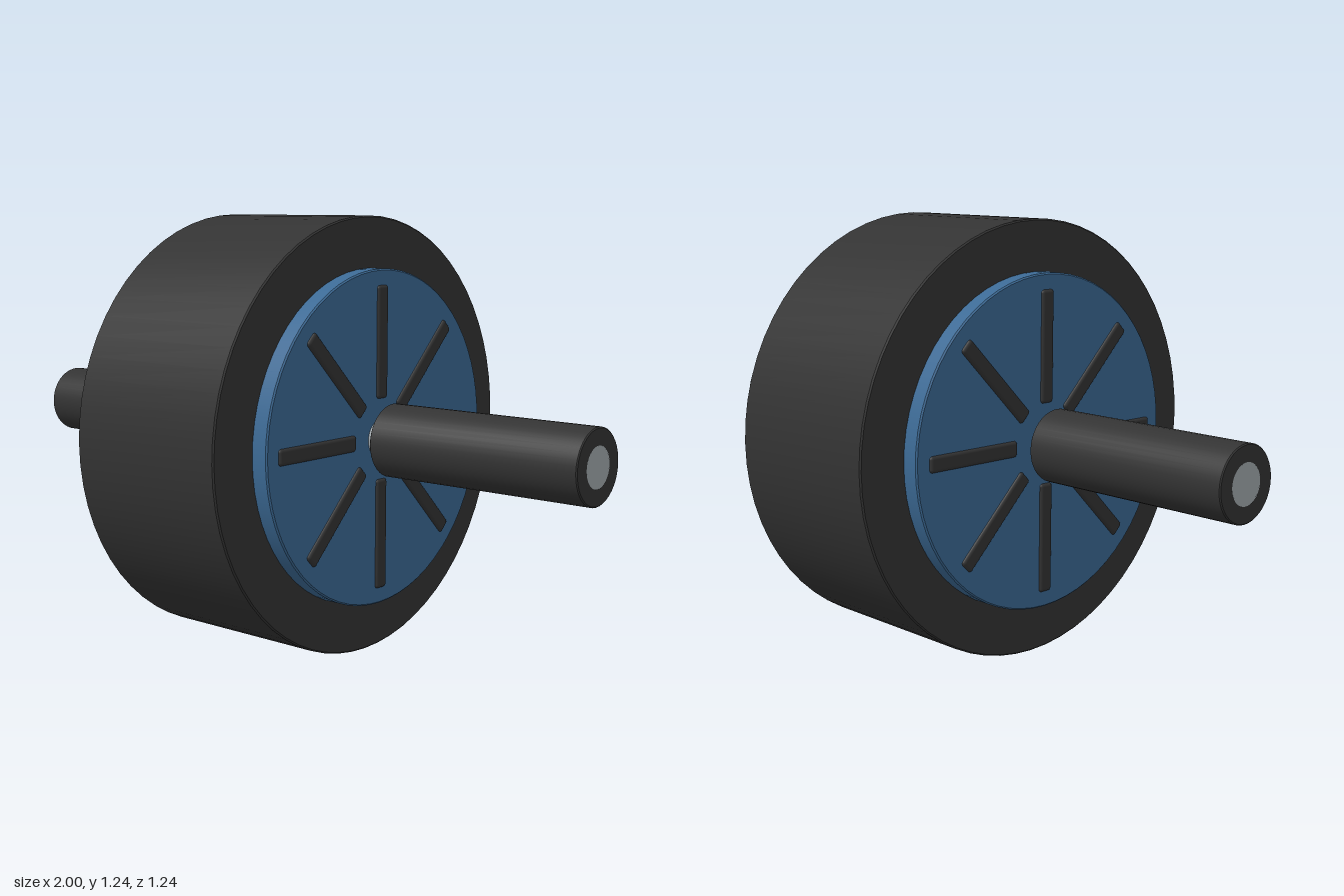
import * as THREE from 'three';
import { toCreasedNormals } from 'three/addons/utils/BufferGeometryUtils.js';
import { RoundedBoxGeometry } from 'three/addons/geometries/RoundedBoxGeometry.js';

const AXLE_Y = 0.62;

// Solid of revolution about the x axis, with small chamfers and an optional bore
function turned(x0, x1, radius, bevel, bore = 0, segments = 48) {
  const points = [
    [bore, x0], [radius - bevel, x0], [radius, x0 + bevel],
    [radius, x1 - bevel], [radius - bevel, x1], [bore, x1],
  ].map(([r, x]) => new THREE.Vector2(r, x));
  const geometry = new THREE.LatheGeometry(points, segments);
  geometry.rotateZ(-Math.PI / 2);
  return toCreasedNormals(geometry, 0.5);
}

export function createModel() {
  const rubber = new THREE.MeshStandardMaterial({ color: 0x333333 });
  rubber.name = 'black rubber';
  const blue = new THREE.MeshStandardMaterial({ color: 0x3c6a95 });
  blue.name = 'blue plastic';
  const steel = new THREE.MeshStandardMaterial({ color: 0xa2aaae });
  steel.name = 'steel';

  const model = new THREE.Group();
  model.name = 'exerciseWheel';
  const add = (name, geometry, material, parent = model) => {
    const mesh = new THREE.Mesh(geometry, material);
    mesh.name = name;
    parent.add(mesh);
    return mesh;
  };

  // Tyre, blue core and the rod running through everything
  add('tyre', turned(-0.26, 0.26, 0.62, 0.004, 0.46, 64), rubber);
  add('core', turned(-0.31, 0.31, 0.475, 0.004, 0, 64), blue);
  add('rod', turned(-1, 1, 0.057, 0.001, 0, 32), steel);

  const spokeGeometry = new RoundedBoxGeometry(0.03, 0.316, 0.046, 3, 0.01);
  for (const side of [1, -1]) {
    const prefix = side > 0 ? 'left' : 'right';

    // Hand grip, bored so the rod end shows
    const [a, b] = side > 0 ? [0.35, 1] : [-1, -0.35];
    add(prefix + 'Grip', turned(a, b, 0.103, 0.003, 0.056, 40), rubber);

    // Eight raised ribs on the face of the core
    const ribs = new THREE.Group();
    ribs.name = prefix + 'Ribs';
    for (let i = 0; i < 8; i++) {
      const angle = (i * Math.PI) / 4;
      const rib = add('rib', spokeGeometry, rubber, ribs);
      rib.position.set(side * 0.302, Math.cos(angle) * 0.272, Math.sin(angle) * 0.272);
      rib.rotation.x = angle;
    }
    model.add(ribs);
  }

  for (const part of model.children) part.position.y = AXLE_Y;
  return model;
}
